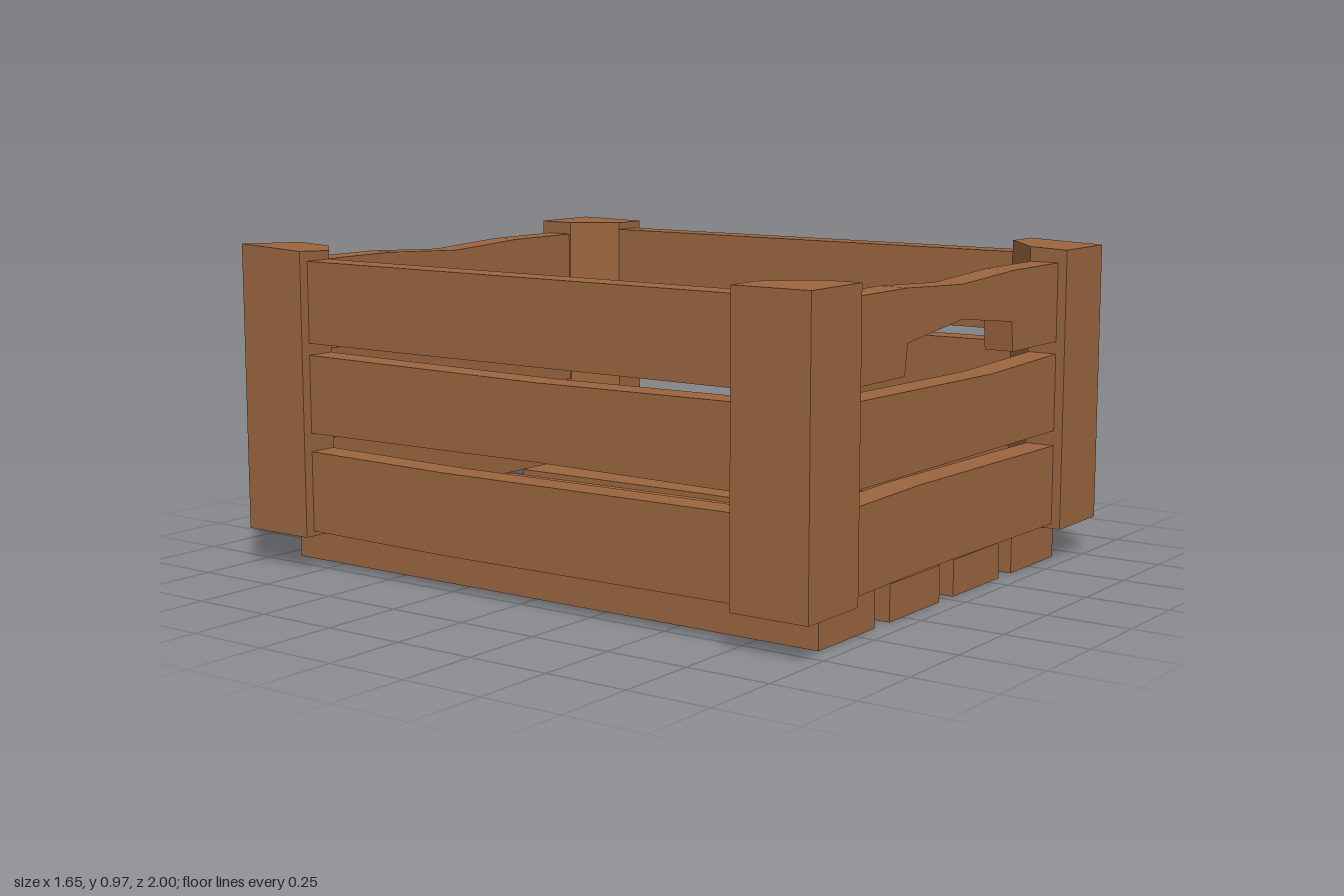
import * as THREE from 'three';

const wood = new THREE.MeshStandardMaterial({ color: 0x9b6540 });
wood.name = 'wood';

// Extrude a flat outline into a board
function board(points, depth) {
  const shape = new THREE.Shape(points.map(([a, b]) => new THREE.Vector2(a, b)));
  return new THREE.ExtrudeGeometry(shape, { depth, bevelEnabled: false });
}

function add(group, name, geometry) {
  const mesh = new THREE.Mesh(geometry, wood);
  mesh.name = name;
  group.add(mesh);
  return mesh;
}

// Plank outline with a slight kink along its bottom and top edges
function plank(half, y0, y1, kinkX, dip0, dip1) {
  return [[-half, y0], [kinkX, y0 + dip0], [half, y0], [half, y1], [kinkX, y1 + dip1], [-half, y1]];
}

export function createModel() {
  const crate = new THREE.Group();
  crate.name = 'crate';

  // Floor slats: left and right edge x at the back, middle and front
  const slats = [
    [[-0.68, -0.40], [-0.68, -0.40], [-0.68, -0.40]],
    [[-0.315, -0.04], [-0.315, -0.055], [-0.32, -0.045]],
    [[0.035, 0.31], [0.055, 0.333], [0.035, 0.31]],
    [[0.385, 0.667], [0.40, 0.657], [0.388, 0.662]],
  ];
  const slatZ = [-0.935, -0.2, 0.94];
  slats.forEach((s, i) => {
    const left = s.map(([l], k) => [l, -slatZ[k]]);
    const right = s.map(([, r], k) => [r, -slatZ[k]]).reverse();
    add(crate, 'floorSlat' + (i + 1), board([...left, ...right], 0.107).rotateX(-Math.PI / 2));
  });

  // Corner posts with a chamfered inner corner and slightly uneven tops
  // [x sign, z sign, height, tilt towards outer x, tilt towards outer z]
  const posts = [
    [1, 1, 0.96, 0, -0.01],
    [-1, 1, 0.95, 0, 0],
    [1, -1, 0.948, 0, 0.004],
    [-1, -1, 0.945, 0.011, 0.011],
  ];
  for (const [sx, sz, height, tiltX, tiltZ] of posts) {
    const outline = [[0.585, 1], [0.825, 1], [0.825, 0.76], [0.705, 0.76], [0.585, 0.88]]
      .map(([x, z]) => [x * sx, -z * sz]);
    const geo = board(outline, height - 0.105).rotateX(-Math.PI / 2).translate(0, 0.105, 0);
    const p = geo.attributes.position;
    for (let i = 0; i < p.count; i++) {
      if (p.getY(i) < 0.5) continue;
      const u = (Math.abs(p.getX(i)) - 0.585) / 0.24;
      const v = (Math.abs(p.getZ(i)) - 0.76) / 0.24;
      p.setY(i, height + u * tiltX + v * tiltZ);
    }
    geo.computeVertexNormals();
    add(crate, (sz > 0 ? 'front' : 'back') + (sx > 0 ? 'Left' : 'Right') + 'Post', geo);
  }

  // End planks, the top one cut out as a handle
  const endPlanks = [
    ['Lower', plank(0.585, 0.12, 0.36, -0.22, 0.006, 0.008)],
    ['Middle', plank(0.585, 0.405, 0.638, 0.18, 0, -0.013)],
    ['Handle', [
      [-0.585, 0.675], [-0.315, 0.675], [-0.3, 0.763], [0, 0.798], [0.295, 0.763], [0.305, 0.675],
      [0.585, 0.675], [0.585, 0.911], [0.3, 0.911], [0, 0.896], [-0.3, 0.911], [-0.585, 0.911],
    ]],
  ];
  for (const [side, z] of [['front', 0.882], ['back', -0.975]]) {
    for (const [row, outline] of endPlanks) {
      add(crate, side + row + 'Plank', board(outline, 0.09).translate(0, 0, z));
    }
  }

  // Side planks
  const sidePlanks = [
    ['Lower', plank(0.76, 0.12, 0.36, 0.25, -0.006, -0.006)],
    ['Middle', plank(0.76, 0.415, 0.648, -0.1, 0.006, -0.007)],
    ['Upper', plank(0.76, 0.683, 0.925, 0, 0, 0)],
  ];
  for (const [side, x] of [['left', 0.705], ['right', -0.795]]) {
    for (const [row, outline] of sidePlanks) {
      add(crate, side + row + 'Plank', board(outline, 0.09).rotateY(Math.PI / 2).translate(x, 0, 0));
    }
  }

  return crate;
}
